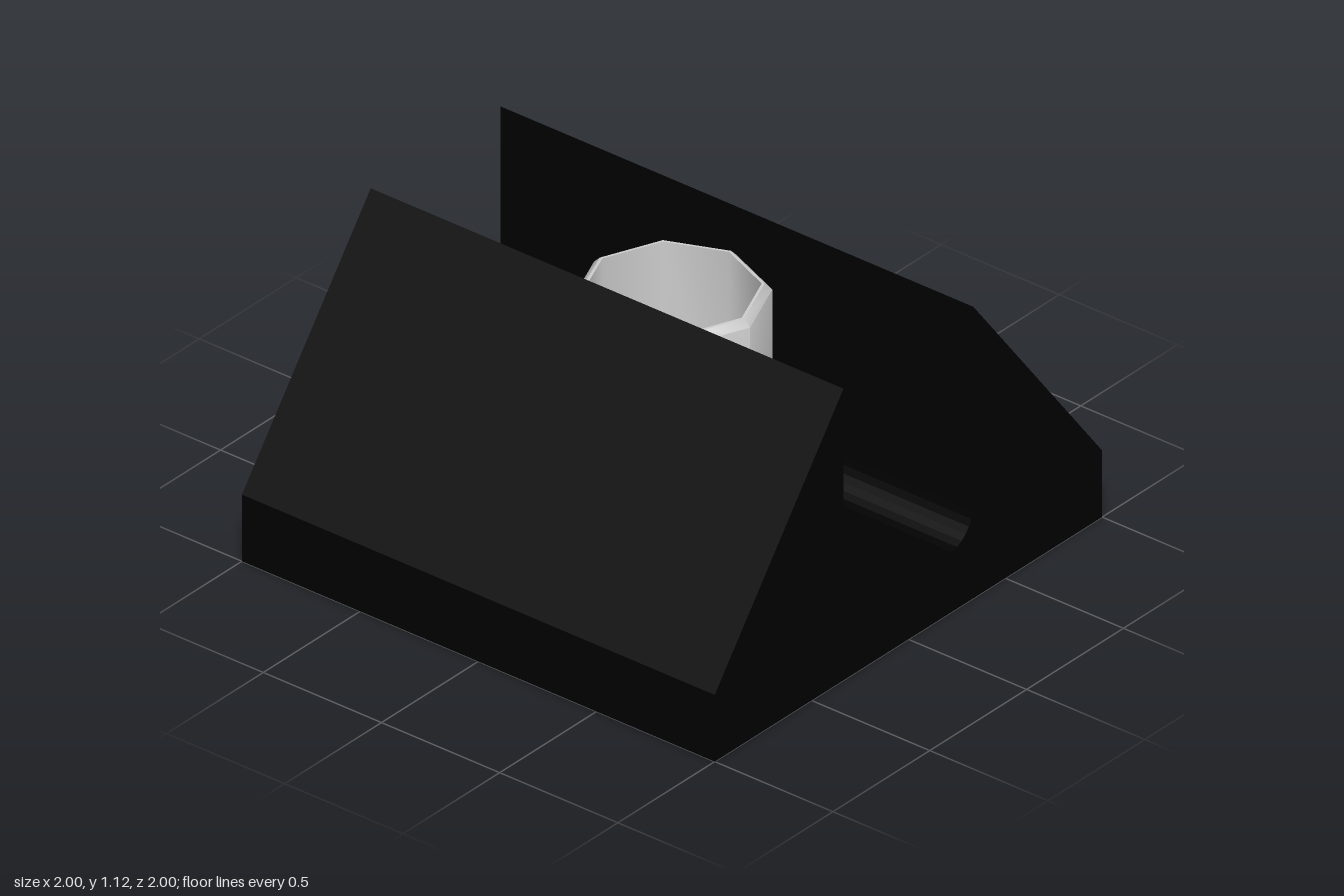
import * as THREE from 'three';
import { toCreasedNormals } from 'three/addons/utils/BufferGeometryUtils.js';

export function createModel() {
  const model = new THREE.Group();

  // Sloped block with a round-cornered channel running along x
  const halfWidth = 0.335, floorY = 0.225, radius = 0.135;
  const profile = new THREE.Shape();
  profile.moveTo(-1, 0);
  profile.lineTo(1, 0);
  profile.lineTo(1, 0.255);
  profile.lineTo(halfWidth, 1.115);
  profile.lineTo(halfWidth, floorY + radius);
  profile.absarc(halfWidth - radius, floorY + radius, radius, 0, -Math.PI / 2, true);
  profile.absarc(radius - halfWidth, floorY + radius, radius, -Math.PI / 2, -Math.PI, true);
  profile.lineTo(-halfWidth, 1.115);
  profile.lineTo(-1, 0.255);
  profile.closePath();
  const blockGeometry = new THREE.ExtrudeGeometry(profile, {
    depth: 2, bevelEnabled: false, curveSegments: 4,
  });
  blockGeometry.translate(0, 0, -1);
  blockGeometry.rotateY(Math.PI / 2);
  const block = new THREE.Mesh(blockGeometry, new THREE.MeshStandardMaterial({ color: 0x000000 }));
  block.name = 'channelBlock';
  model.add(block);

  // Open eight-sided sleeve with a wall and a chamfered rim
  const wall = [
    [0.295, 0.245], [0.33, 0.245], [0.33, 0.935], [0.305, 0.96], [0.295, 0.96], [0.295, 0.245],
  ].map(([r, y]) => new THREE.Vector2(r, y));
  const sleeve = new THREE.Mesh(
    toCreasedNormals(new THREE.LatheGeometry(wall, 8), 0.8),
    new THREE.MeshStandardMaterial({ color: 0xcccccc }),
  );
  sleeve.name = 'sleeve';
  model.add(sleeve);

  return model;
}
